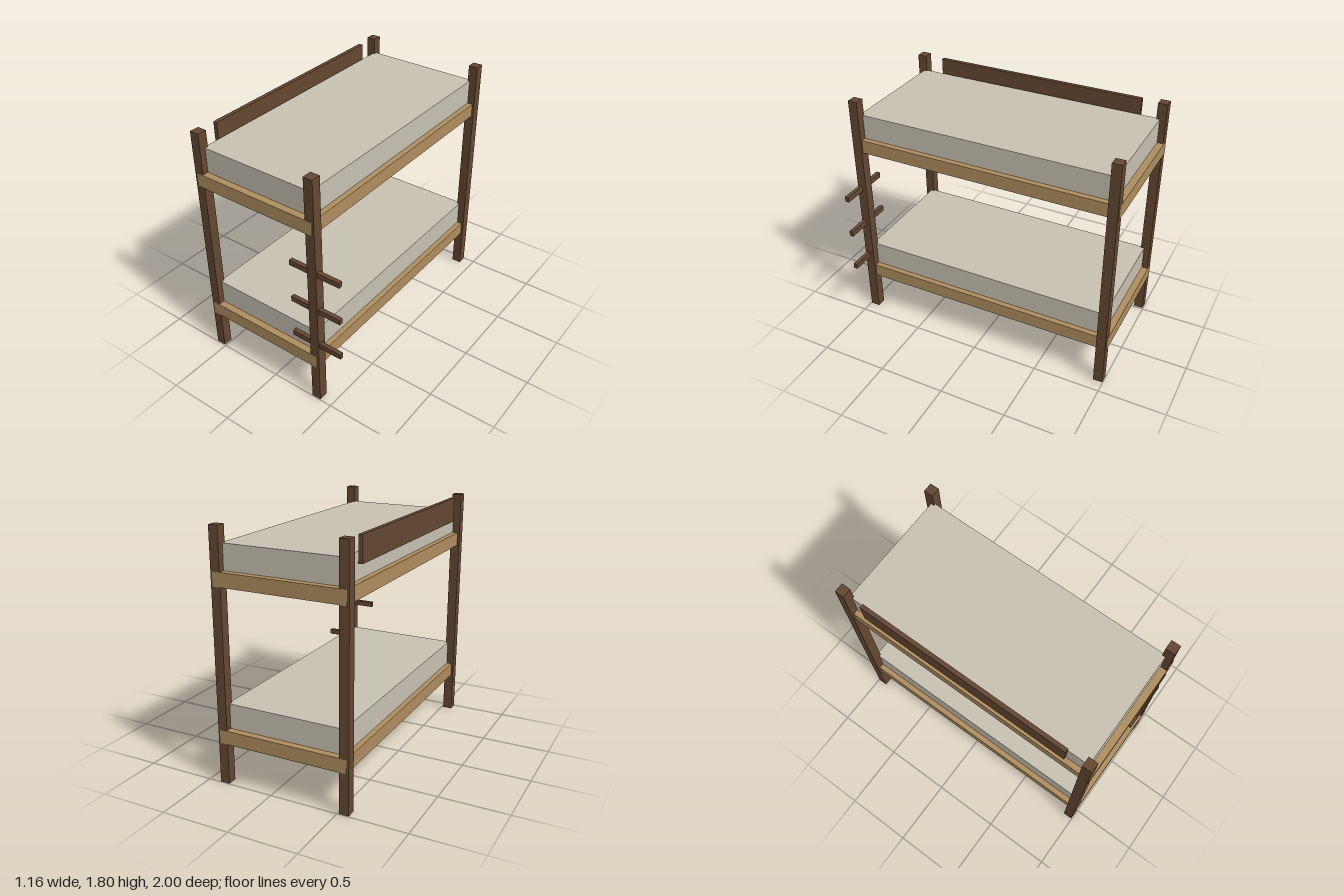
import * as THREE from 'three';

export function createModel() {
  const model = new THREE.Group();
  model.name = 'bunkBed';

  const material = (name, color) => {
    const m = new THREE.MeshStandardMaterial({ color });
    m.name = name;
    return m;
  };
  const darkWood = material('dark wood', 0x644832);
  const lightWood = material('light wood', 0xb08e5f);
  const fabric = material('mattress fabric', 0xc8c2b3);

  const box = (name, mat, [w, h, d], [x, y, z], parent) => {
    const mesh = new THREE.Mesh(new THREE.BoxGeometry(w, h, d), mat);
    mesh.name = name;
    mesh.position.set(x, y, z);
    parent.add(mesh);
  };

  // The bed sits left of centre because the rungs stick out on one side
  const bed = new THREE.Group();
  bed.name = 'bed';
  bed.position.x = -0.0875;
  model.add(bed);

  // Corner posts
  for (const [sideName, sx] of [['left', 1], ['right', -1]]) {
    for (const [endName, sz] of [['Front', 1], ['Back', -1]]) {
      box(`${sideName}${endName}Post`, darkWood, [0.07, 1.8, 0.07], [sx * 0.46, 0.9, sz * 0.96], bed);
    }
  }

  // Two bunks, each a solid base with a mattress on top
  for (const [name, y] of [['lower', 0.3], ['upper', 1.4]]) {
    box(`${name}Base`, lightWood, [0.96, 0.1, 2], [0, y + 0.05, 0], bed);
    box(`${name}Mattress`, fabric, [0.88, 0.18, 1.9], [0, y + 0.19, 0], bed);
  }

  // Guard rail beside the upper mattress
  box('guardRail', darkWood, [0.03, 0.18, 1.6], [-0.47, 1.7, 0], bed);

  // Ladder rungs through the left front post
  for (let i = 0; i < 3; i++) {
    box(`ladderRung${i + 1}`, darkWood, [0.4, 0.04, 0.03], [0.47, 0.5 + i * 0.3, 0.97], bed);
  }

  return model;
}
